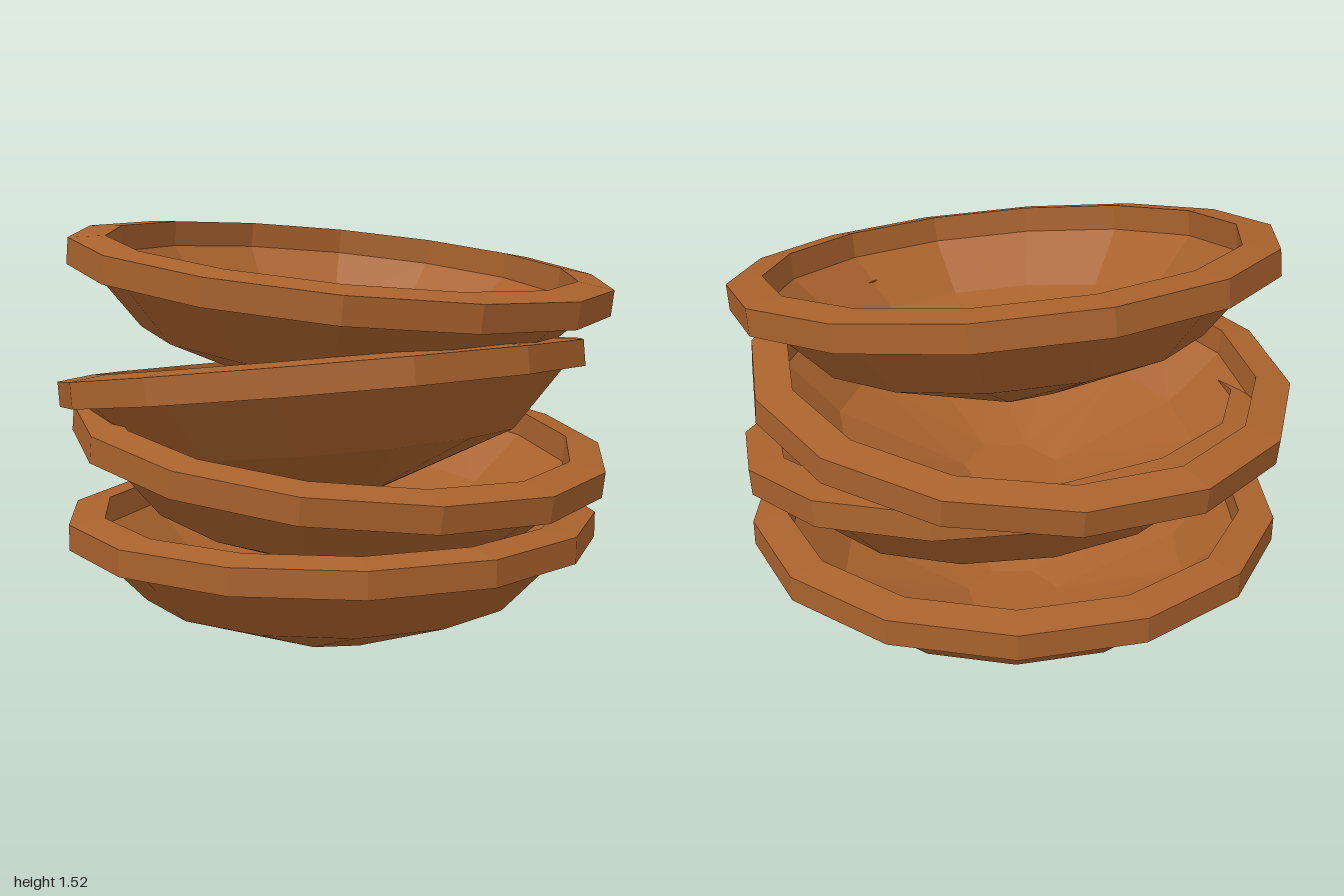
import * as THREE from 'three';

const SIDES = 14;

// Bowl cross-section [radius, height], from the outer base, over the rim, to the inner floor.
const PROFILE = [
  [0, 0], [0.19, 0], [0.69, 0.19], [0.88, 0.39], // outer shell
  [0.955, 0.39], [0.955, 0.48],                  // rim band
  [0.83, 0.495], [0.83, 0.4],                    // rim top and inner lip
  [0.64, 0.22], [0.18, 0.04], [0, 0.04],         // inside
];

// Ring vertex; the small base rings have seven sides, so their odd points sit on the chords.
function ringPoint([r, y], i) {
  const a = (i / SIDES) * Math.PI * 2;
  const radius = r < 0.3 && i % 2 ? r * Math.cos(Math.PI / 7) : r;
  return new THREE.Vector3(radius * Math.cos(a), y, -radius * Math.sin(a));
}

function bowlGeometry() {
  const pts = [];
  const tri = (a, b, c) => {
    if (new THREE.Triangle(a, b, c).getArea() > 1e-6) pts.push(a, b, c);
  };
  for (let k = 0; k < PROFILE.length - 1; k++) {
    const inside = k > 5;
    for (let i = 0; i < SIDES; i++) {
      const a = ringPoint(PROFILE[k], i), b = ringPoint(PROFILE[k], i + 1);
      const c = ringPoint(PROFILE[k + 1], i + 1), d = ringPoint(PROFILE[k + 1], i);
      // alternate the diagonals so facets fan out from the seven base corners
      if ((i % 2 === 0) !== inside) { tri(a, b, c); tri(a, c, d); }
      else { tri(a, b, d); tri(b, c, d); }
    }
  }
  const geometry = new THREE.BufferGeometry().setFromPoints(pts);
  geometry.computeVertexNormals();
  return geometry;
}

export function createModel() {
  const group = new THREE.Group();
  group.name = 'bowlStack';
  const clay = new THREE.MeshStandardMaterial({ color: 0xa9622d, flatShading: true });
  const geometry = bowlGeometry();

  // Each bowl: height, z offset, forward tilt and turn in degrees
  const bowls = [
    { name: 'bottomBowl', y: 0, z: 0, tilt: 0, turn: 0 },
    { name: 'lowerMiddleBowl', y: 0.314, z: -0.01, tilt: 7.8, turn: -14 },
    { name: 'upperMiddleBowl', y: 0.54, z: 0.01, tilt: -6.7, turn: 10.5 },
    { name: 'topBowl', y: 0.914, z: -0.01, tilt: 7.8, turn: -6.5 },
  ];
  for (const { name, y, z, tilt, turn } of bowls) {
    const bowl = new THREE.Mesh(geometry, clay);
    bowl.name = name;
    bowl.position.set(0, y, z);
    bowl.rotation.set(THREE.MathUtils.degToRad(tilt), THREE.MathUtils.degToRad(turn), 0);
    group.add(bowl);
  }
  return group;
}
